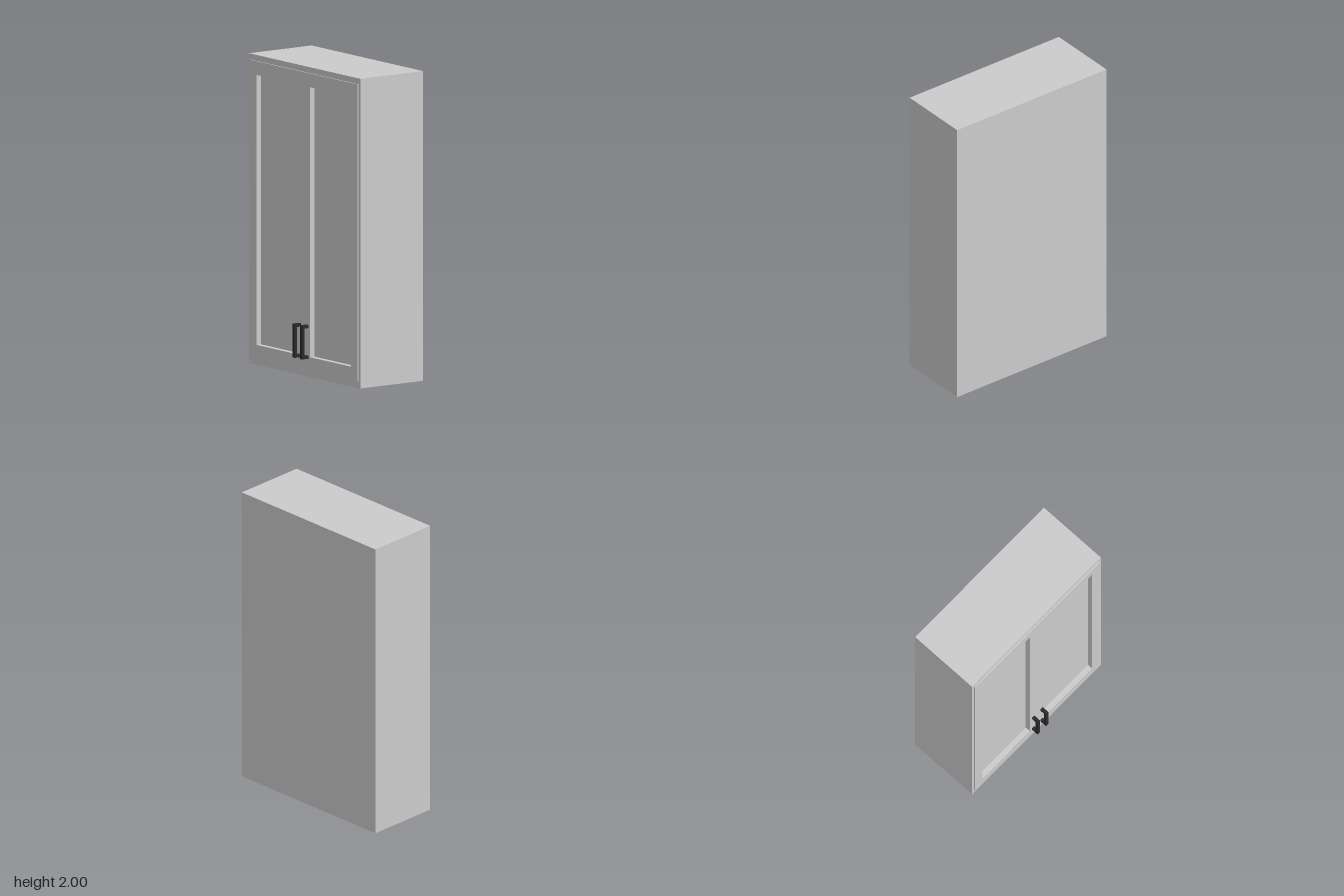
import * as THREE from 'three';

const grey = new THREE.MeshStandardMaterial({ color: 0xcccccc });
const dark = new THREE.MeshStandardMaterial({ color: 0x2a2a2a });

// Box given by its limits on each axis
function box(name, [x0, x1], [y0, y1], [z0, z1], material = grey) {
  const mesh = new THREE.Mesh(new THREE.BoxGeometry(x1 - x0, y1 - y0, z1 - z0), material);
  mesh.position.set((x0 + x1) / 2, (y0 + y1) / 2, (z0 + z1) / 2);
  mesh.name = name;
  return mesh;
}

function rectangle(target, [z0, z1], [y0, y1]) {
  return target.moveTo(z0, y0).lineTo(z1, y0).lineTo(z1, y1).lineTo(z0, y1).closePath();
}

// Rectangular frame in the z-y plane, from x = back out to x = front (toward -x)
function frame(name, back, front, outer, inner) {
  const shape = rectangle(new THREE.Shape(), ...outer);
  shape.holes.push(rectangle(new THREE.Path(), ...inner));
  const geometry = new THREE.ExtrudeGeometry(shape, { depth: back - front, bevelEnabled: false });
  geometry.rotateY(-Math.PI / 2);
  const mesh = new THREE.Mesh(geometry, grey);
  mesh.position.x = back;
  mesh.name = name;
  return mesh;
}

export function createModel() {
  const model = new THREE.Group();
  model.name = 'wallCabinet';
  const panelX = -0.19, faceX = -0.22, doorX = -0.228;
  const doorY = [0.045, 1.962];

  // Carcass and the frame around the doors
  model.add(box('carcass', [panelX, 0.275], [0, 2], [-0.6, 0.6]));
  model.add(frame('faceFrame', panelX, faceX, [[-0.6, 0.6], [0, 2]], [[-0.58, 0.58], doorY]));

  // Pair of doors, each with a sunken panel and a bar handle
  for (const side of [-1, 1]) {
    const span = (a, b) => [side * a, side * b].sort((p, q) => p - q);
    const door = new THREE.Group();
    door.name = side < 0 ? 'backDoor' : 'frontDoor';
    door.add(frame('doorFrame', panelX, doorX, [span(0, 0.58), doorY], [span(0.07, 0.51), [0.13, 1.873]]));
    door.add(box('doorPanel', [panelX - 0.002, panelX], [0.13, 1.873], span(0.07, 0.51)));

    const handle = new THREE.Group();
    handle.name = 'handle';
    const width = span(0.028, 0.05);
    handle.add(box('handleBar', [-0.278, -0.258], [0.117, 0.336], width, dark));
    for (const y of [0.117, 0.315]) {
      handle.add(box('handlePost', [-0.258, doorX], [y, y + 0.021], width, dark));
    }
    door.add(handle);
    model.add(door);
  }
  return model;
}
